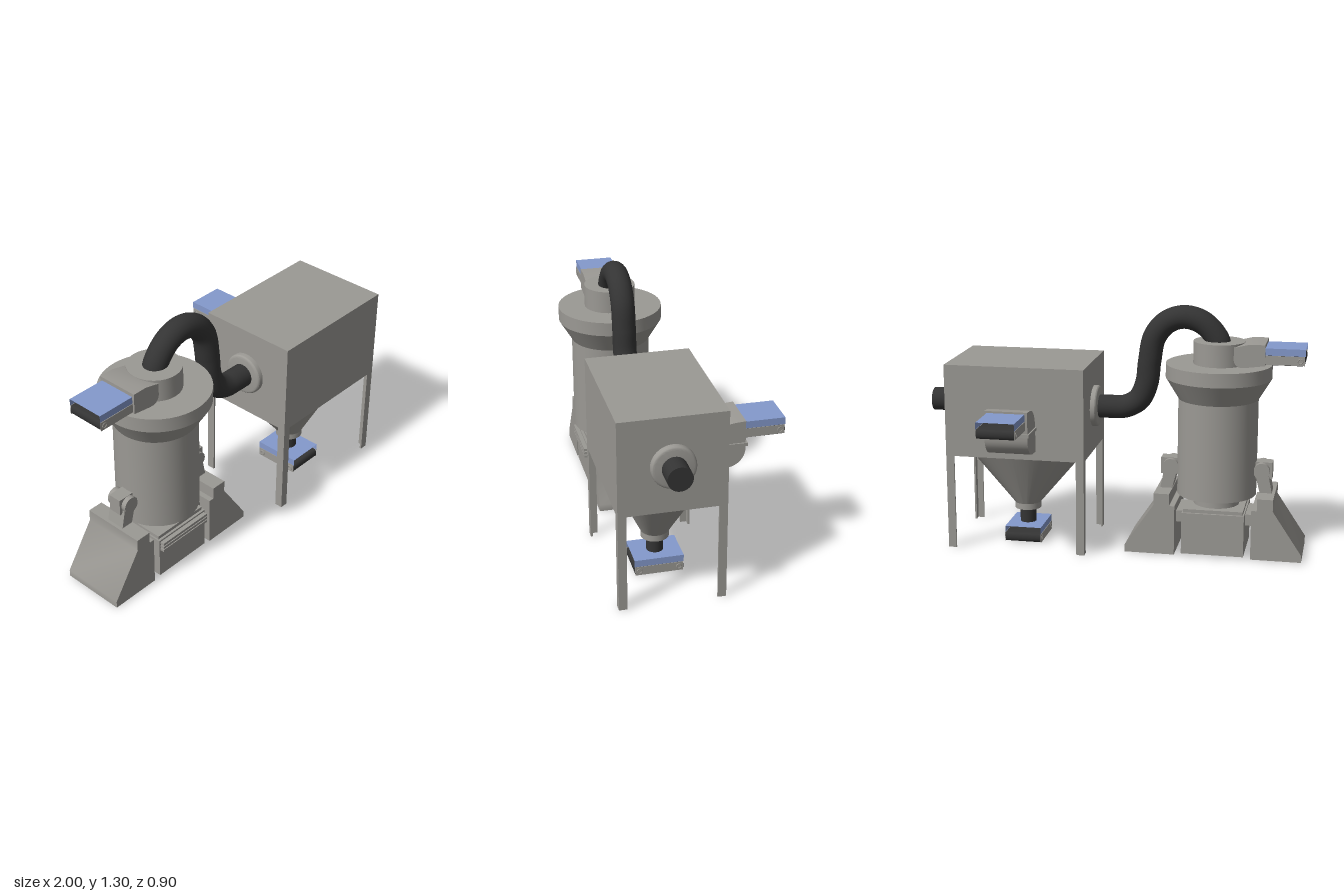
import * as THREE from 'three';
import { toCreasedNormals } from 'three/addons/utils/BufferGeometryUtils.js';

const mat = (name, color) => Object.assign(new THREE.MeshStandardMaterial({ color }), { name });

export function createModel() {
  const steel = mat('steel grey', 0x9b9994);
  const rubber = mat('rubber black', 0x343434);
  const cover = mat('cover blue', 0x8499cc);
  cover.side = THREE.DoubleSide;

  const model = new THREE.Group();
  model.name = 'dustCollector';
  const VX = -0.537, CZ = 0.175, HX = 0.49, PIPE_Y = 0.747;

  const add = (parent, name, geometry, material, x = 0, y = 0, z = 0) => {
    const mesh = new THREE.Mesh(geometry, material);
    mesh.name = name;
    mesh.position.set(x, y, z);
    parent.add(mesh);
    return mesh;
  };
  // box given by its min and max corners
  const box = (parent, name, material, [x0, y0, z0], [x1, y1, z1]) =>
    add(parent, name, new THREE.BoxGeometry(x1 - x0, y1 - y0, z1 - z0), material,
      (x0 + x1) / 2, (y0 + y1) / 2, (z0 + z1) / 2);
  const lathe = (points) => toCreasedNormals(
    new THREE.LatheGeometry(points.map(p => new THREE.Vector2(...p)), 48), 0.4);
  // side profile extruded to a width centred on z = 0
  const slab = (points, width) => {
    const shape = new THREE.Shape(points.map(p => new THREE.Vector2(...p)));
    const g = new THREE.ExtrudeGeometry(shape, { depth: width, bevelEnabled: false });
    return toCreasedNormals(g.translate(0, 0, -width / 2), 0.7);
  };
  // points of a rounded corner
  const arc = (cx, cy, rx, ry, from, to, n = 8) => Array.from({ length: n + 1 }, (_, i) => {
    const a = THREE.MathUtils.degToRad(from + (to - from) * i / n);
    return [cx + rx * Math.cos(a), cy + ry * Math.sin(a)];
  });

  // ---- Filter vessel
  const vessel = new THREE.Group();
  vessel.name = 'vessel';
  vessel.position.set(VX, 0, CZ);
  model.add(vessel);
  add(vessel, 'vesselBody', lathe([[0, 0.25], [0.12, 0.25], [0.12, 0.282], [0.135, 0.29], [0.135, 0.31],
    [0.208, 0.31], [0.208, 0.82], [0.275, 0.93], [0.275, 1.003], [0, 1.003]]), steel);
  add(vessel, 'vesselCap', lathe([[0, 1], [0.134, 1], [0.134, 1.12], [0, 1.12]]), steel);
  add(vessel, 'vesselDuct', slab([[-0.243, 1.018], [-0.14, 1.004], ...arc(-0.125, 1.045, 0.04, 0.041, -90, 0),
    [-0.085, 1.106], [-0.165, 1.125], [-0.243, 1.125]], 0.22), steel);

  // ---- Vessel base with front slats
  const base = new THREE.Group();
  base.name = 'vesselBase';
  base.position.set(VX, 0, CZ);
  model.add(base);
  box(base, 'baseBlock', steel, [-0.163, 0.013, -0.168], [0.163, 0.235, 0.168]);
  box(base, 'baseTop', steel, [-0.155, 0.235, -0.155], [0.155, 0.253, 0.155]);
  for (let i = 0; i < 3; i++)
    box(base, 'baseSlat', steel, [-0.155, 0.172 + i * 0.02, 0.16], [0.155, 0.186 + i * 0.02, 0.19]);

  // ---- Two sloped feet with hinged arms, one turned about the vessel axis
  for (const turn of [0, Math.PI]) {
    const foot = new THREE.Group();
    foot.name = turn ? 'leftFoot' : 'rightFoot';
    foot.position.set(VX, 0, CZ);
    foot.rotation.y = turn;
    model.add(foot);
    add(foot, 'footBlock', slab([[-0.463, 0.003], [-0.2, 0.003], [-0.2, 0.268], [-0.228, 0.268],
      [-0.228, 0.332], [-0.31, 0.332], [-0.31, 0.27], [-0.463, 0.04]], 0.335), steel);
    box(foot, 'footTie', steel, [-0.21, 0.165, -0.1], [-0.16, 0.225, 0.1]);
    box(foot, 'armBracket', steel, [-0.292, 0.405, -0.035], [-0.19, 0.493, 0.035]);
    const pin = add(foot, 'armPin', new THREE.CylinderGeometry(0.043, 0.043, 0.12, 24), steel, -0.238, 0.449, 0);
    pin.rotation.x = Math.PI / 2;
    add(foot, 'arm', slab([[-0.295, 0.325], [-0.232, 0.325], [-0.203, 0.44], [-0.268, 0.46]], 0.1), steel);
  }

  // ---- Hose from the vessel cap to the hopper cabinet
  const path = new THREE.CatmullRomCurve3([[-0.545, 1.06], [-0.525, 1.13], [-0.45, 1.21], [-0.355, 1.237],
    [-0.265, 1.208], [-0.2, 1.13], [-0.174, 1], [-0.16, 0.885], [-0.12, 0.795], [-0.05, 0.753],
    [0.03, PIPE_Y], [0.13, PIPE_Y]].map(([x, y]) => new THREE.Vector3(x, y, CZ)));
  add(model, 'hose', new THREE.TubeGeometry(path, 80, 0.061, 24), rubber);

  // ---- Cabinet on four angle-iron legs
  const cabinet = new THREE.Group();
  cabinet.name = 'cabinet';
  model.add(cabinet);
  const [X0, X1, Z0, Z1] = [0.123, 0.861, -0.091, 0.438];
  box(cabinet, 'cabinetBody', steel, [X0, 0.505, Z0], [X1, 0.992, Z1]);
  for (const [x, sx] of [[X0, 1], [X1, -1]]) for (const [z, sz] of [[Z0, 1], [Z1, -1]]) {
    const leg = new THREE.Group();
    leg.name = 'leg';
    cabinet.add(leg);
    add(leg, 'legPlateX', new THREE.BoxGeometry(0.042, 0.507, 0.01), steel, x + sx * 0.021, 0.2535, z + sz * 0.005);
    add(leg, 'legPlateZ', new THREE.BoxGeometry(0.01, 0.507, 0.042), steel, x + sx * 0.005, 0.2535, z + sz * 0.021);
  }

  // Pipe flanges on both ends and the inlet stub
  const flange = lathe([[0, -0.005], [0.109, -0.005], [0.109, 0.018], ...arc(0.094, 0.018, 0.015, 0.014, 0, 90, 4), [0, 0.032]]);
  add(cabinet, 'flange', flange, steel, X1, PIPE_Y, CZ).rotation.z = -Math.PI / 2;
  add(cabinet, 'flange', flange, steel, X0, PIPE_Y, CZ).rotation.z = Math.PI / 2;
  add(cabinet, 'inletPipe', new THREE.CylinderGeometry(0.061, 0.061, 0.15, 32), rubber, 0.925, PIPE_Y, CZ)
    .rotation.z = Math.PI / 2;

  // Hopper: ellipse at the top narrowing to a round outlet
  const hopper = new THREE.CylinderGeometry(1, 1, 0.305, 64);
  const p = hopper.attributes.position;
  for (let i = 0; i < p.count; i++) {
    const top = p.getY(i) > 0;
    p.setX(i, p.getX(i) * (top ? 0.328 : 0.071));
    p.setZ(i, p.getZ(i) * (top ? 0.22 : 0.071));
  }
  add(cabinet, 'hopper', toCreasedNormals(hopper, 0.5), steel, HX, 0.3515, CZ);
  add(cabinet, 'hopperCollar', new THREE.CylinderGeometry(0.071, 0.071, 0.04, 32), steel, HX, 0.186, CZ);
  add(cabinet, 'dropPipe', new THREE.CylinderGeometry(0.043, 0.043, 0.1, 24), rubber, HX, 0.13, CZ);

  // Elbow duct on the back, with a seam flange
  const elbow = slab([[0.08, 0.551], ...arc(0.15, 0.651, 0.1, 0.095, -82, 0), [0.25, 0.797],
    ...arc(0.2, 0.695, 0.105, 0.098, 95, 180)], 0.225).rotateY(Math.PI / 2);
  add(cabinet, 'backDuct', elbow, steel, HX, 0, 0);
  box(cabinet, 'ductSeam', steel, [HX - 0.12, 0.667, -0.26], [HX + 0.12, 0.684, -0.085]);

  // ---- Belt conveyors: black belt, grey side plates with bolts, blue open-ended hood
  const conveyor = (name, x, y, z, turn) => {
    const g = new THREE.Group();
    g.name = name;
    g.position.set(x, y, z);
    g.rotation.y = turn;
    model.add(g);
    const belt = slab([...arc(0.11, 0.026, 0.015, 0.024, -90, 90), ...arc(-0.11, 0.026, 0.015, 0.024, 90, 270)], 0.194);
    add(g, 'belt', belt.rotateY(Math.PI / 2), rubber);
    for (const s of [-1, 1]) {
      add(g, 'sidePlate', new THREE.BoxGeometry(0.003, 0.046, 0.244), steel, s * 0.0985, 0.027, 0);
      add(g, 'hoodSide', new THREE.PlaneGeometry(0.25, 0.036).rotateY(Math.PI / 2), cover, s * 0.098, 0.069, 0);
      for (const e of [-1, 1]) {
        const ring = new THREE.TorusGeometry(0.012, 0.003, 8, 20).rotateY(Math.PI / 2);
        add(g, 'boltRing', ring, steel, s * 0.1, 0.026, e * 0.1);
      }
    }
    add(g, 'hoodTop', new THREE.PlaneGeometry(0.196, 0.25).rotateX(-Math.PI / 2), cover, 0, 0.087, 0);
  };
  conveyor('vesselConveyor', -0.857, 1.02, CZ, Math.PI / 2);
  conveyor('backConveyor', HX, 0.7, -0.327, 0);
  conveyor('hopperConveyor', HX, 0, CZ, 0);

  return model;
}
